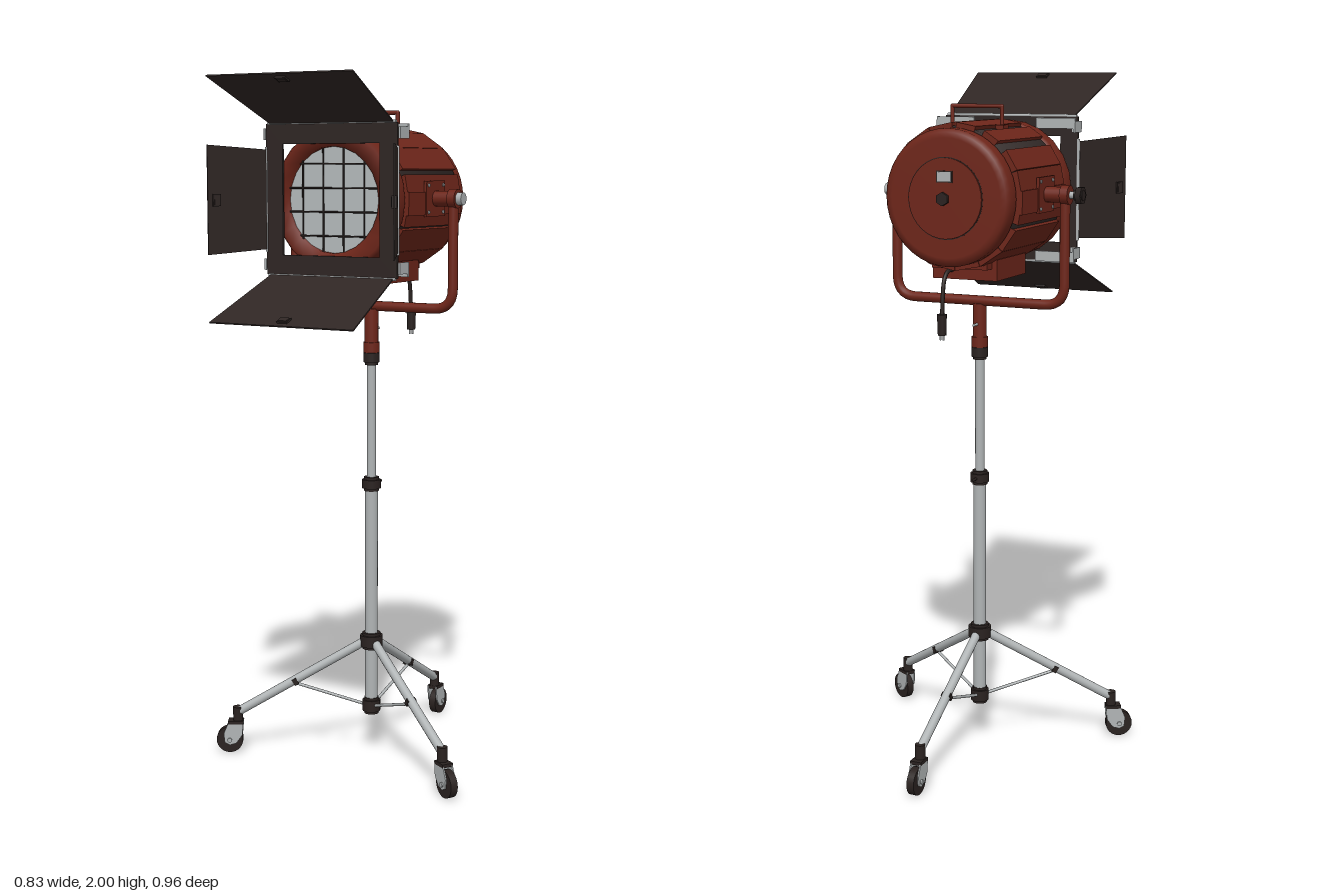
import * as THREE from 'three';

const mat = (name, color) => Object.assign(new THREE.MeshStandardMaterial({ color }), { name });
const V = (x, y, z) => new THREE.Vector3(x, y, z);

export function createModel() {
  const red = mat('oxide red paint', 0x6e261a);
  const dark = mat('dark metal', 0x2f2624);
  const black = mat('black rubber', 0x2a2220);
  const silver = mat('silver metal', 0xb0b4b5);
  const glass = mat('pale lens', 0xb6bcbd);

  const model = new THREE.Group();
  const add = (parent, name, geo, material, x = 0, y = 0, z = 0) => {
    const m = new THREE.Mesh(geo, material);
    m.name = name;
    m.position.set(x, y, z);
    parent.add(m);
    return m;
  };
  const group = (parent, name, x = 0, y = 0, z = 0) => {
    const g = new THREE.Group();
    g.name = name;
    g.position.set(x, y, z);
    parent.add(g);
    return g;
  };
  const box = (w, h, d) => new THREE.BoxGeometry(w, h, d);
  const cyl = (r, h, n = 20, r2 = r) => new THREE.CylinderGeometry(r2, r, h, n);
  const cylX = (r, h, n) => cyl(r, h, n).rotateZ(Math.PI / 2);
  const cylZ = (r, h, n) => cyl(r, h, n).rotateX(Math.PI / 2);
  const rod = (parent, name, a, b, r, material) => {
    const dir = b.clone().sub(a);
    const m = add(parent, name, cyl(r, dir.length(), 14), material);
    m.position.copy(a).add(b).multiplyScalar(0.5);
    m.quaternion.setFromUnitVectors(V(0, 1, 0), dir.normalize());
    return m;
  };
  // Ring or drum around the z axis, from [radius, z] pairs
  const drum = (pts, n = 32) =>
    new THREE.LatheGeometry(pts.map(([r, z]) => new THREE.Vector2(r, z)), n).rotateX(Math.PI / 2);
  const extrude = (pts, depth) =>
    new THREE.ExtrudeGeometry(new THREE.Shape(pts.map(([x, y]) => new THREE.Vector2(x, y))), { depth, bevelEnabled: false });

  // ---------- Stand ----------
  const stand = group(model, 'stand', 0, 0, -0.008);
  add(stand, 'lowerColumn', cyl(0.019, 0.69), silver, 0, 0.485, 0);
  add(stand, 'upperColumn', cyl(0.0135, 0.38), silver, 0, 1.01, 0);
  for (const [y, r, h] of [[1.207, 0.024, 0.028], [0.83, 0.028, 0.026], [0.35, 0.034, 0.034], [0.148, 0.027, 0.034]]) {
    add(stand, 'collar', cyl(r, h), black, 0, y, 0);
    add(stand, 'collarLip', cyl(r * 0.8, h + 0.016), black, 0, y, 0);
  }
  rod(stand, 'columnLever', V(0, 0.83, -0.02), V(0, 0.83, -0.057), 0.004, black);
  add(stand, 'spigot', cyl(0.02, 0.13), red, 0, 1.285, 0);
  add(stand, 'spigotLower', cyl(0.024, 0.03), red, 0, 1.237, 0);
  rod(stand, 'spigotLever', V(0, 1.29, -0.02), V(0, 1.29, -0.042), 0.004, silver);

  // Three legs with casters, local +z pointing outwards
  for (const angle of [Math.PI / 3, -Math.PI / 3, Math.PI]) {
    const leg = group(stand, 'leg');
    leg.rotation.y = angle;
    rod(leg, 'legTube', V(0, 0.347, 0.02), V(0, 0.122, 0.41), 0.0135, silver);
    rod(leg, 'brace', V(0, 0.15, 0.02), V(0, 0.215, 0.228), 0.0045, silver);
    add(leg, 'braceClamp', box(0.029, 0.02, 0.014), black, 0, 0.222, 0.23).rotation.x = 0.52;
    add(leg, 'casterStem', cyl(0.015, 0.046), black, 0, 0.118, 0.405);
    add(leg, 'casterBridge', box(0.034, 0.01, 0.045), black, 0, 0.094, 0.412);
    add(leg, 'wheel', cylX(0.04, 0.022, 28), black, 0, 0.04, 0.43);
    for (const s of [-1, 1]) {
      const fork = extrude([[0.388, 0.098], [0.432, 0.098], [0.448, 0.06], [0.445, 0.032], [0.43, 0.024], [0.41, 0.03], [0.392, 0.055]], 0.004);
      fork.rotateY(-Math.PI / 2);
      add(leg, 'casterFork', fork, silver, s * 0.0145 + 0.002, 0, 0);
      add(leg, 'axleNut', cylX(0.007, 0.006, 10), silver, s * 0.018, 0.04, 0.43);
    }
  }

  // ---------- Yoke ----------
  const yoke = group(model, 'yoke', 0, 0, -0.012);
  const X = 0.265, B = 1.358, R = 0.06;
  const path = new THREE.CurvePath();
  path.add(new THREE.LineCurve3(V(-X, 1.67, 0), V(-X, B + R, 0)));
  path.add(new THREE.QuadraticBezierCurve3(V(-X, B + R, 0), V(-X, B, 0), V(-X + R, B, 0)));
  path.add(new THREE.LineCurve3(V(-X + R, B, 0), V(X - R, B, 0)));
  path.add(new THREE.QuadraticBezierCurve3(V(X - R, B, 0), V(X, B, 0), V(X, B + R, 0)));
  path.add(new THREE.LineCurve3(V(X, B + R, 0), V(X, 1.67, 0)));
  add(yoke, 'yokeTube', new THREE.TubeGeometry(path, 90, 0.0145, 14), red);
  for (const s of [-1, 1]) {
    add(yoke, 'pivot', cylX(0.022, 0.09), red, s * 0.235, 1.67, 0);
    add(yoke, 'pivotCollar', cylX(0.027, 0.024), red, s * 0.268, 1.67, 0);
    add(yoke, 'pivotPlate', box(0.008, 0.1, 0.11), red, s * 0.205, 1.67, 0);
    for (const y of [-0.038, 0.038]) for (const z of [-0.043, 0.043])
      add(yoke, 'plateBolt', cylX(0.005, 0.004, 8), silver, s * 0.21, 1.67 + y, z);
  }
  add(yoke, 'pivotBolt', cylX(0.018, 0.018, 12), silver, 0.288, 1.67, 0);
  add(yoke, 'knobShaft', cylX(0.01, 0.03, 12), silver, -0.288, 1.67, 0);
  add(yoke, 'tiltKnobHub', cylX(0.015, 0.026, 12), black, -0.307, 1.67, 0);
  add(yoke, 'tiltKnob', cylX(0.026, 0.016, 6), black, -0.31, 1.67, 0);

  // ---------- Lamp housing ----------
  const lamp = group(model, 'lamp', 0, 1.667, 0);
  add(lamp, 'ventDrum', drum([[0, -0.175], [0.195, -0.175], [0.195, 0.138], [0.185, 0.138], [0.185, 0.15], [0, 0.15]], 32), dark);

  // Sixteen flat panels; a few seams are open as vents
  const step = Math.PI / 8;
  const open = { 0: 0.03, 1: 0.068, 2: 0.08, 13: 0.04, 5: 0.04, 11: 0.02 };
  const closed = 0.004;
  for (let i = 0; i < 16; i++) {
    const a = Math.PI / 2 + i * step + (open[i] || closed);
    const b = Math.PI / 2 + (i + 1) * step - (open[(i + 1) % 16] || closed);
    const p = (r, t) => [r * Math.cos(t), r * Math.sin(t)];
    add(lamp, 'housingPanel', extrude([p(0.18, a), p(0.205, a), p(0.205, b), p(0.18, b)], 0.315), red, 0, 0, -0.176);
  }
  for (const s of [-1, 1]) add(lamp, 'sideRail', box(0.018, 0.065, 0.315), red, s * 0.196, -0.01, -0.0185);

  // Front ring and rear cap
  add(lamp, 'frontRing', drum([[0.185, 0.142], [0.192, 0.145], [0.201, 0.152], [0.201, 0.195], [0.192, 0.206], [0.148, 0.206], [0.148, 0.15]], 24), red);
  add(lamp, 'rearCap', drum([[0, -0.234], [0.165, -0.234], [0.18, -0.229], [0.19, -0.218], [0.19, -0.182], [0.183, -0.172], [0, -0.172]], 40), red);
  add(lamp, 'rearDiscGroove', cylZ(0.1135, 0.002, 36), dark, 0, 0, -0.2334);
  add(lamp, 'rearDisc', cylZ(0.111, 0.006, 36), red, 0, 0, -0.235);
  add(lamp, 'rearKnobShaft', cylZ(0.008, 0.02, 12), silver, 0, 0, -0.243);
  add(lamp, 'rearKnob', cylZ(0.019, 0.01, 6), black, 0, 0, -0.252);
  add(lamp, 'rearPlateFrame', box(0.048, 0.032, 0.003), dark, 0, 0.06, -0.239);
  add(lamp, 'rearPlate', box(0.042, 0.026, 0.004), silver, 0, 0.06, -0.24);

  // Lens with wire guard
  add(lamp, 'lens', cylZ(0.149, 0.008, 48), glass, 0, 0, 0.19);
  for (const t of [-0.1, -0.033, 0.033, 0.1]) {
    const half = Math.sqrt(0.148 ** 2 - t * t);
    rod(lamp, 'guardWire', V(t, -half, 0.202), V(t, half, 0.202), 0.0025, dark);
    rod(lamp, 'guardWire', V(-half, t, 0.202), V(half, t, 0.202), 0.0025, dark);
  }

  // Base box, carrying handle and power cable
  add(lamp, 'baseBox', box(0.2, 0.06, 0.205), red, 0, -0.207, -0.008);
  add(lamp, 'baseStep', box(0.17, 0.02, 0.27), red, 0, -0.193, -0.01);
  add(lamp, 'switch', box(0.02, 0.016, 0.01), black, 0.05, -0.21, 0.098);
  for (const s of [-1, 1]) {
    add(lamp, 'handleFoot', box(0.025, 0.014, 0.036), red, s * 0.077, 0.187, -0.025);
    rod(lamp, 'handlePost', V(s * 0.077, 0.18, -0.025), V(s * 0.077, 0.245, -0.025), 0.006, red);
    add(lamp, 'handleCorner', new THREE.SphereGeometry(0.006, 10, 8), red, s * 0.077, 0.245, -0.025);
  }
  rod(lamp, 'handleBar', V(-0.077, 0.245, -0.025), V(0.077, 0.245, -0.025), 0.006, red);
  const cable = new THREE.CatmullRomCurve3([V(0.04, -0.212, -0.1), V(0.04, -0.212, -0.135), V(0.04, -0.235, -0.16), V(0.04, -0.34, -0.176)]);
  add(lamp, 'cable', new THREE.TubeGeometry(cable, 24, 0.006, 10), black);
  add(lamp, 'plug', cyl(0.012, 0.06, 12, 0.014), black, 0.04, -0.36, -0.176);
  for (const s of [-1, 1]) add(lamp, 'plugPin', cyl(0.003, 0.016, 8), silver, 0.04 + s * 0.005, -0.396, -0.176);

  // ---------- Barn doors ----------
  const barn = group(lamp, 'barnDoors');
  const frame = new THREE.Shape([[-1, -1], [1, -1], [1, 1], [-1, 1]].map(([x, y]) => new THREE.Vector2(x * 0.213, y * 0.211)));
  frame.holes.push(new THREE.Path([[-1, -1], [-1, 1], [1, 1], [1, -1]].map(([x, y]) => new THREE.Vector2(x * 0.158, y * 0.155))));
  add(barn, 'frame', new THREE.ExtrudeGeometry(frame, { depth: 0.007, bevelEnabled: false }), dark, 0, 0, 0.211);

  // Each door: turn around z, hinge half width, tip half width, outward and forward reach
  const doors = [
    ['topDoor', 0, 0.2, 0.23, 0.12, 0.262],
    ['bottomDoor', Math.PI, 0.2, 0.23, 0.118, 0.262],
    ['leftDoor', -Math.PI / 2, 0.14, 0.152, 0.085, 0.168],
    ['rightDoor', Math.PI / 2, 0.14, 0.152, 0.085, 0.168],
  ];
  for (const [name, turn, w0, w1, out, fwd] of doors) {
    const side = group(barn, name);
    side.rotation.z = turn;
    add(side, 'hingeRod', cylX(0.0048, w0 * 2 + 0.015, 10), silver, 0, 0.213, 0.215);
    const leaf = group(side, 'leaf', 0, 0.213, 0.217);
    leaf.rotation.x = Math.atan2(fwd, out);
    const L = Math.hypot(out, fwd);
    add(leaf, 'panel', extrude([[-w0, 0], [w0, 0], [w1, L], [-w1, L]], 0.004), dark, 0, 0, -0.002);
    add(leaf, 'clip', box(0.034, 0.024, 0.014), black, 0, L - 0.026, 0);
    add(leaf, 'clipFace', box(0.026, 0.016, 0.017), dark, 0, L - 0.026, 0);
  }

  // Silver corner brackets holding the frame to the ring
  for (const sx of [-1, 1]) for (const sy of [-1, 1]) {
    const y = sy * 0.183;
    add(barn, 'bracketArm', box(0.122, 0.03, 0.008), silver, sx * 0.16, y + sy * 0.01, 0.17);
    add(barn, 'bracketSide', box(0.006, 0.032, 0.052), silver, sx * 0.219, y, 0.192);
    add(barn, 'bracketFoot', box(0.024, 0.03, 0.004), silver, sx * 0.208, y, 0.209);
  }
  return model;
}
